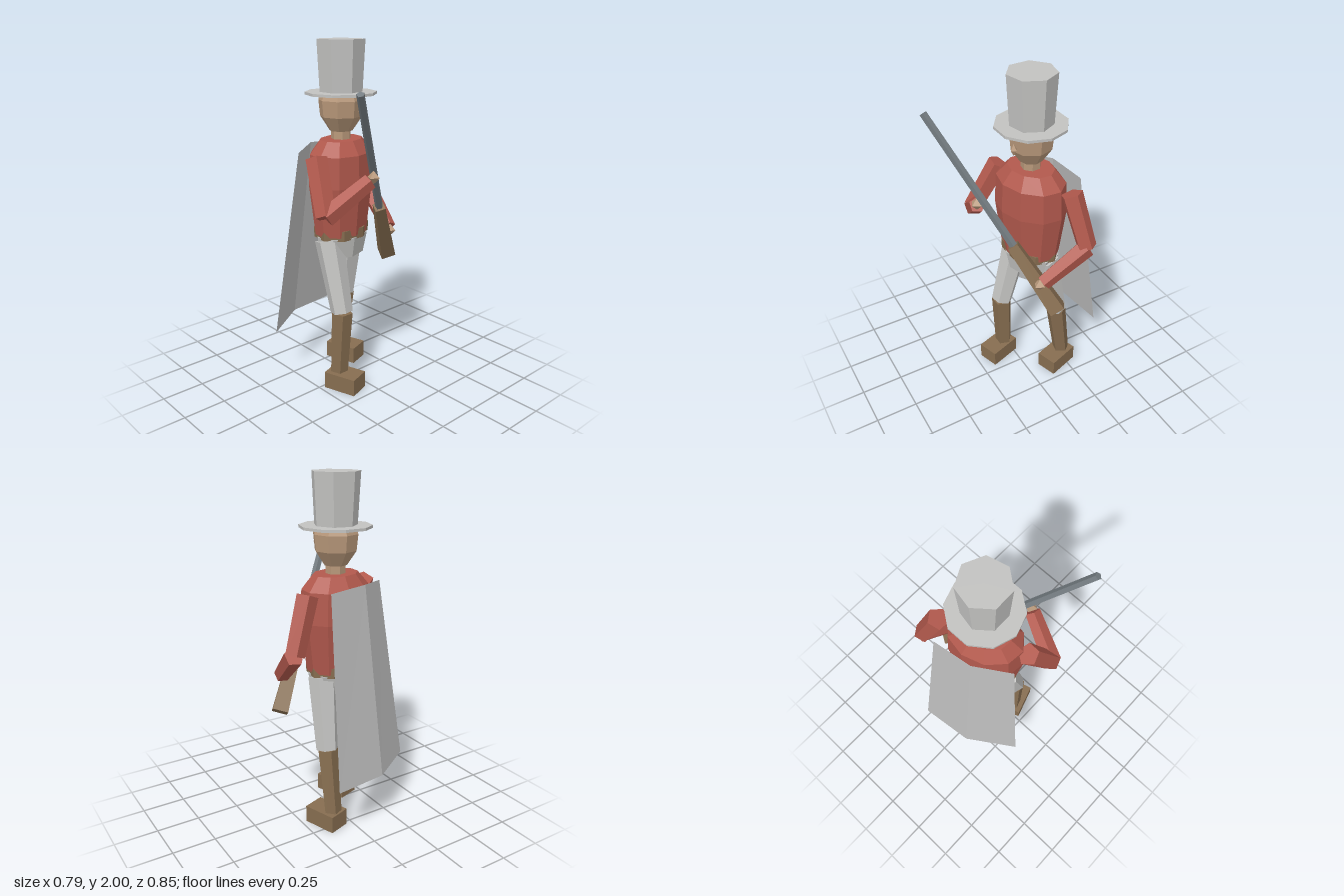
import * as THREE from 'three';

const paint = (name, color, opts = {}) => {
  const m = new THREE.MeshStandardMaterial({ color, flatShading: true, ...opts });
  m.name = name;
  return m;
};

export function createModel() {
  const red = paint('red coat', 0xb2594d);
  const pale = paint('pale grey cloth', 0xc2c2c0);
  const capeCloth = paint('cape cloth', 0xbababa, { side: THREE.DoubleSide });
  const brown = paint('brown leather and wood', 0x866d50);
  const skin = paint('skin', 0xb8987a);
  const steel = paint('gun steel', 0x737b80);

  const model = new THREE.Group();
  model.name = 'soldier';
  const yaw = 0.31; // the whole figure is turned slightly to its left

  const add = (name, geometry, material, parent = model) => {
    const mesh = new THREE.Mesh(geometry, material);
    mesh.name = name;
    parent.add(mesh);
    return mesh;
  };

  // Tapered prism between two points
  const limb = (name, a, b, ra, rb, sides, material, twist = 0) => {
    const from = new THREE.Vector3(...a), to = new THREE.Vector3(...b);
    const dir = to.clone().sub(from);
    const geo = new THREE.CylinderGeometry(rb, ra, dir.length(), sides);
    geo.rotateY(twist);
    const mesh = add(name, geo, material);
    mesh.position.copy(from).add(to).multiplyScalar(0.5);
    mesh.quaternion.setFromUnitVectors(new THREE.Vector3(0, 1, 0), dir.normalize());
    return mesh;
  };

  // Body group: every turned part shares one axis
  const body = new THREE.Group();
  body.name = 'body';
  body.position.set(-0.01, 0, -0.07);
  body.rotation.y = yaw;
  model.add(body);

  // Faceted solid from a [radius, height] profile, listed bottom to top
  const turned = (name, profile, sides, material, depth = 1, twist = 0) => {
    const pts = profile.map(([r, y]) => new THREE.Vector2(r, y));
    const geo = new THREE.LatheGeometry(pts, sides);
    geo.rotateY(twist);
    geo.scale(1, 1, depth);
    return add(name, geo, material, body);
  };

  // Coat, belt and hips
  turned('coat', [[0, 0.92], [0.185, 0.92], [0.225, 1.21], [0.215, 1.385], [0.145, 1.46], [0, 1.46]],
    10, red, 0.75, Math.PI / 10);
  turned('belt', [[0, 0.9], [0.187, 0.9], [0.19, 0.96], [0, 0.96]], 8, brown, 0.77);
  turned('hips', [[0, 0.79], [0.155, 0.79], [0.184, 0.91], [0, 0.91]], 8, pale, 0.77, Math.PI / 8);

  // Neck, head and nose
  turned('neck', [[0, 1.44], [0.056, 1.44], [0.056, 1.53], [0, 1.53]], 7, skin);
  turned('head', [[0, 1.505], [0.065, 1.505], [0.118, 1.585], [0.127, 1.675], [0.113, 1.71], [0, 1.71]],
    8, skin, 1, Math.PI / 8);
  const nose = add('nose', new THREE.OctahedronGeometry(1), skin, body);
  nose.scale.set(0.021, 0.035, 0.022);
  nose.position.set(0, 1.615, 0.135);

  // Top hat
  turned('hatBrim', [[0, 1.705], [0.2, 1.705], [0.2, 1.72], [0, 1.72]], 10, pale, 1, 0.01);
  turned('hatCrown', [[0, 1.71], [0.12, 1.71], [0.135, 2], [0, 2]], 7, pale, 1, Math.PI / 2 - yaw + 0.02);

  // Legs: right one forward, left one back
  const legs = [
    { side: 'right', hip: [-0.125, 0.89, -0.045], knee: [-0.125, 0.475, 0.065], ankle: [-0.138, 0.08, 0.052], foot: [-0.13, 0.05, 0.095] },
    { side: 'left', hip: [0.095, 0.89, -0.105], knee: [0.115, 0.475, -0.185], ankle: [0.112, 0.08, -0.24], foot: [0.128, 0.05, -0.195] },
  ];
  for (const l of legs) {
    limb(l.side + 'Thigh', l.hip, l.knee, 0.083, 0.064, 6, pale, yaw);
    limb(l.side + 'Boot', l.knee, l.ankle, 0.063, 0.052, 5, brown, yaw);
    const foot = add(l.side + 'Foot', new THREE.BoxGeometry(0.13, 0.1, 0.2), brown);
    foot.position.set(...l.foot);
    foot.rotation.y = yaw;
  }

  // Arms: right hand on the barrel, left hand on the stock
  const arms = [
    { side: 'right', shoulder: [-0.245, 1.385, 0.0], elbow: [-0.305, 1.1, 0.145], wrist: [-0.07, 1.275, 0.232], hand: [-0.052, 1.295, 0.242] },
    { side: 'left', shoulder: [0.235, 1.385, -0.175], elbow: [0.34, 1.085, -0.22], wrist: [0.287, 0.895, 0.02], hand: [0.283, 0.883, 0.04] },
  ];
  for (const a of arms) {
    limb(a.side + 'UpperArm', a.shoulder, a.elbow, 0.062, 0.056, 5, red, 0.5);
    limb(a.side + 'Forearm', a.elbow, a.wrist, 0.056, 0.045, 5, red, 0.5);
    const hand = add(a.side + 'Hand', new THREE.OctahedronGeometry(0.037), skin);
    hand.position.set(...a.hand);
    hand.rotation.y = yaw;
  }

  // Musket
  limb('gunBarrel', [0.15, 1.02, 0.09], [-0.3, 1.765, 0.405], 0.024, 0.021, 5, steel);
  limb('gunStock', [0.34, 0.705, -0.045], [0.115, 1.075, 0.115], 0.062, 0.042, 4, brown, yaw);

  // Cape: three folds, narrow at the shoulders and flared at the hem
  const top = [[-0.265, 1.4, -0.13], [-0.08, 1.42, -0.255], [0.155, 1.405, -0.285]];
  const hem = [[-0.395, 0.33, -0.215], [-0.125, 0.33, -0.393], [0.19, 0.33, -0.43]];
  const cape = new THREE.BufferGeometry();
  cape.setAttribute('position', new THREE.Float32BufferAttribute([...top, ...hem].flat(), 3));
  const faces = [];
  for (let i = 0; i < 2; i++) faces.push(i, i + 1, i + 4, i, i + 4, i + 3);
  cape.setIndex(faces);
  cape.computeVertexNormals();
  add('cape', cape, capeCloth);

  return model;
}
